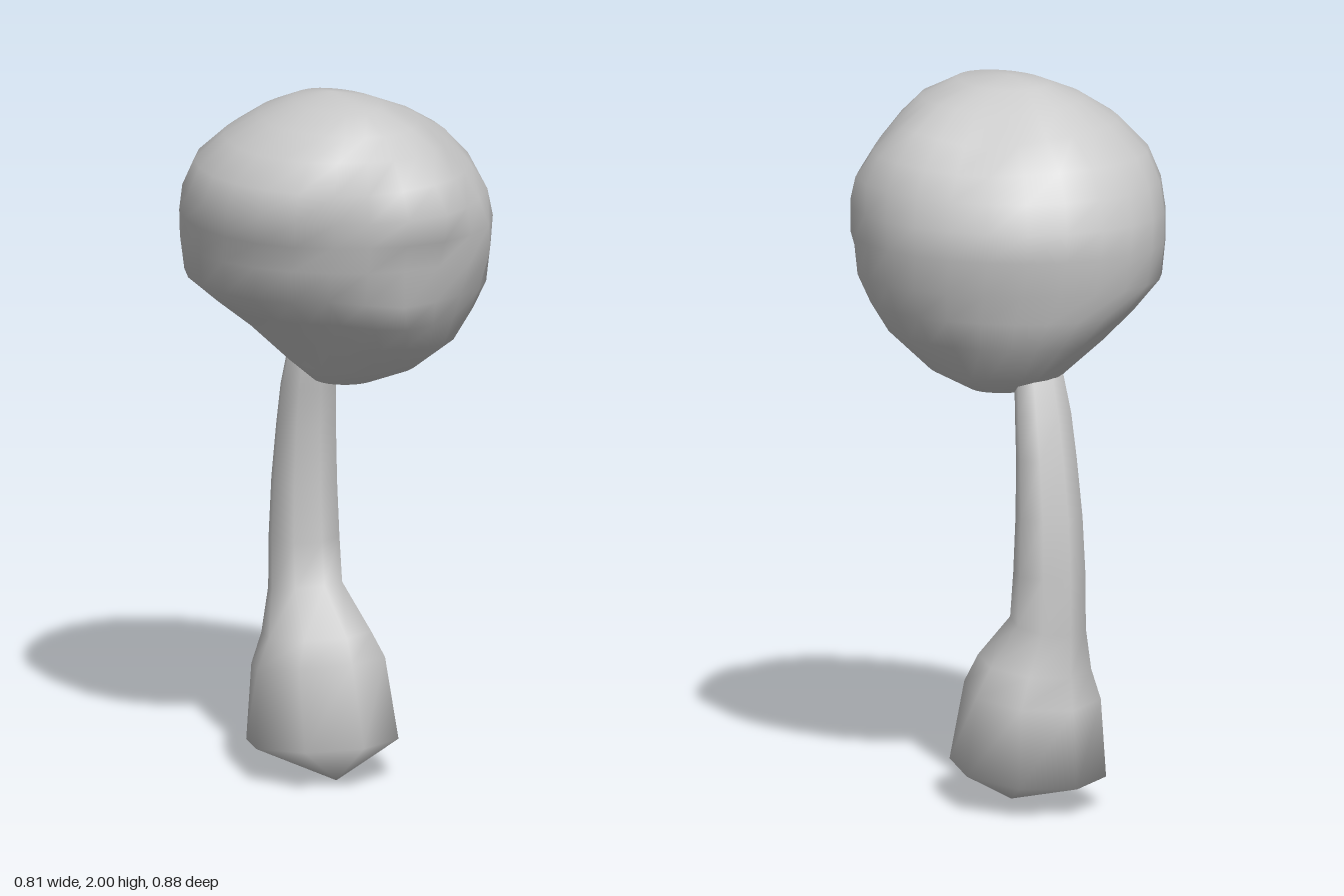
import * as THREE from 'three';

const grey = new THREE.MeshStandardMaterial({ color: 0xcccccc });

// Closed smooth skin over oval rings, listed bottom to top as
// [y, xMin, xMax, zMin, zMax, skew, tilt]; bend(point) may move each vertex.
function loft(name, rings, sides, bottom, top, bend) {
  const pos = [], index = [], p = new THREE.Vector3();
  const put = () => { if (bend) bend(p); pos.push(p.x, p.y, p.z); };
  for (const [y, x0, x1, z0, z1, skew = 0, tilt = 0] of rings) {
    for (let j = 0; j < sides; j++) {
      const t = (j / sides) * Math.PI * 2;
      const c = Math.cos(t), s = Math.sin(t + skew);
      p.set((x0 + x1) / 2 + ((x1 - x0) / 2) * c, y + tilt * s, (z0 + z1) / 2 + ((z1 - z0) / 2) * s);
      put();
    }
  }
  for (const end of [bottom, top]) { p.set(...end); put(); }
  const low = rings.length * sides, high = low + 1, last = low - sides;
  for (let j = 0; j < sides; j++) {
    const k = (j + 1) % sides;
    index.push(low, j, k, high, last + k, last + j);
    for (let i = 0; i < rings.length - 1; i++) {
      const a = i * sides + j, b = i * sides + k;
      index.push(a, a + sides, b, b, a + sides, b + sides);
    }
  }
  const g = new THREE.BufferGeometry();
  g.setAttribute('position', new THREE.Float32BufferAttribute(pos, 3));
  g.setIndex(index);
  g.computeVertexNormals();
  const mesh = new THREE.Mesh(g, grey);
  mesh.name = name;
  return mesh;
}

// Lumps: [centre, radius, height]; negative heights are dents
const core = new THREE.Vector3(0, 1.6, 0);
const lumps = [
  [new THREE.Vector3(-0.2, 1.44, 0.3), 0.12, -0.02],
  [new THREE.Vector3(-0.16, 1.68, 0.38), 0.15, -0.035],
  [new THREE.Vector3(0.22, 1.86, 0.22), 0.12, -0.03],
  [new THREE.Vector3(0.25, 1.88, -0.17), 0.16, -0.045],
  [new THREE.Vector3(-0.02, 1.5, 0.38), 0.09, 0.015],
  [new THREE.Vector3(0.13, 1.71, 0.42), 0.09, 0.03],
  [new THREE.Vector3(0.31, 1.57, 0.28), 0.15, 0.03],
];
function lumpy(p) {
  const out = p.clone().sub(core).normalize();
  let d = 0;
  for (const [c, r, h] of lumps) d += h * Math.exp(-p.distanceToSquared(c) / (r * r));
  // faint unevenness, mostly on the front
  if (p.z > 0) d += 0.03 * p.z * Math.sin(p.x * 17 + 1) * Math.sin(p.y * 19);
  p.addScaledVector(out, d);
}

export function createModel() {
  const model = new THREE.Group();

  // Leaning, lumpy head
  const head = [
    [1.15, -0.02, 0.15, -0.14, 0.02, 0.1],
    [1.2, -0.07, 0.235, -0.245, 0.13, 0.2],
    [1.3, -0.17, 0.32, -0.345, 0.26, 0.22],
    [1.38, -0.27, 0.36, -0.39, 0.315, 0.21],
    [1.46, -0.365, 0.385, -0.42, 0.355, 0.18],
    [1.56, -0.385, 0.4, -0.44, 0.375, 0.12],
    [1.64, -0.4, 0.4, -0.435, 0.405, 0.09],
    [1.72, -0.41, 0.385, -0.405, 0.425, 0.07],
    [1.8, -0.39, 0.36, -0.365, 0.4, 0.04],
    [1.88, -0.33, 0.295, -0.275, 0.355],
    [1.94, -0.24, 0.19, -0.185, 0.315],
    [1.98, -0.14, 0.08, -0.09, 0.22],
  ];
  model.add(loft('head', head, 24, [0.05, 1.135, -0.05], [-0.03, 2, 0.03], lumpy));

  // Bent stalk that widens into a bulb-shaped foot
  const stalk = [
    [0.1, -0.16, 0.26, -0.383, 0.07, 0, 0.025],
    [0.32, -0.145, 0.24, -0.36, 0.01, 0, 0.03],
    [0.4, -0.105, 0.195, -0.347, -0.015, 0, 0.02],
    [0.52, -0.058, 0.152, -0.35, -0.14, 0, 0.02],
    [0.66, -0.054, 0.15, -0.35, -0.155],
    [0.82, -0.05, 0.142, -0.337, -0.16],
    [0.98, -0.048, 0.13, -0.307, -0.152],
    [1.1, -0.05, 0.118, -0.275, -0.135],
    [1.2, -0.045, 0.1, -0.24, -0.115],
    [1.26, -0.02, 0.08, -0.21, -0.11],
  ];
  model.add(loft('stalk', stalk, 8, [0.05, 0, -0.08], [0.03, 1.28, -0.16]));

  return model;
}
